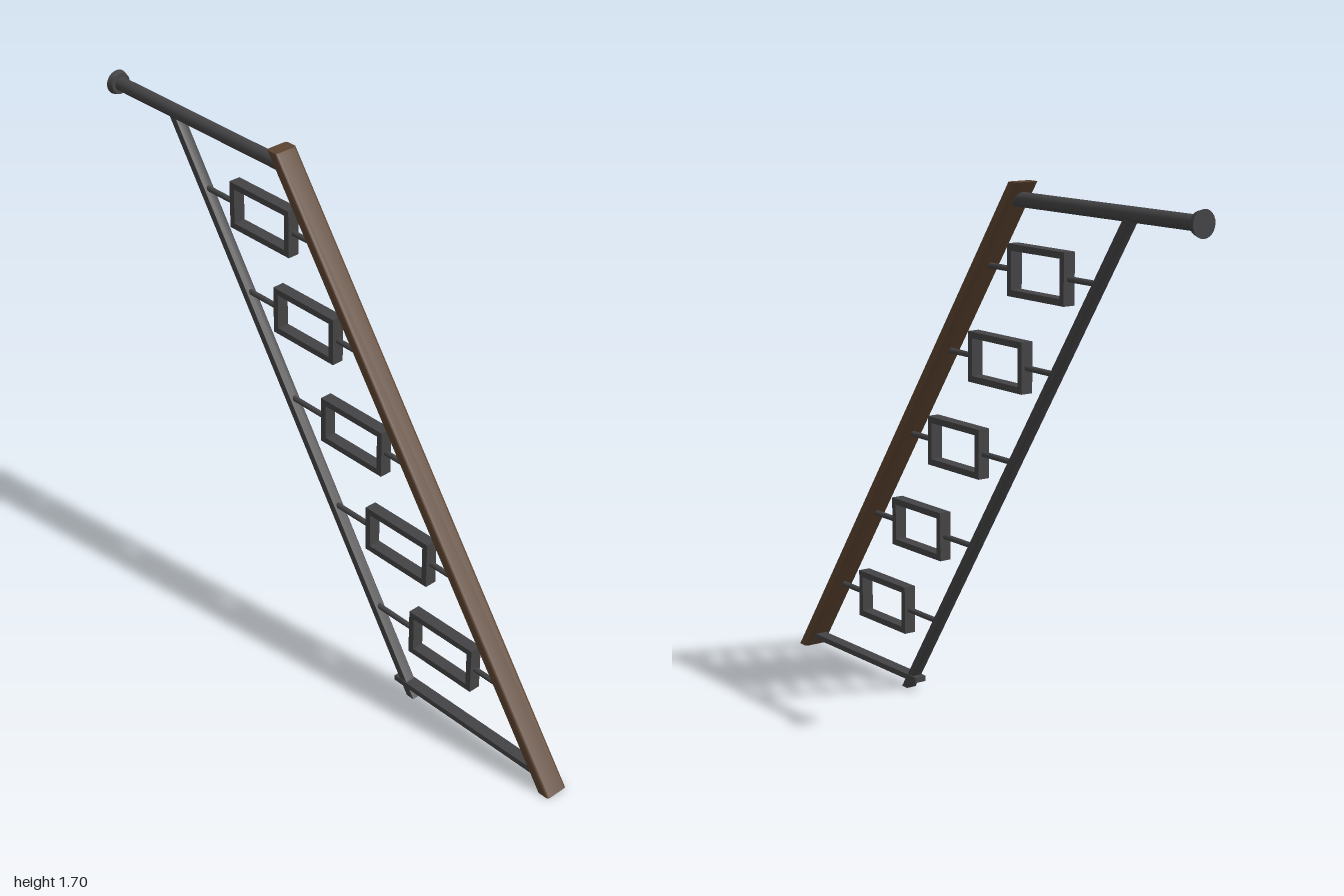
import * as THREE from 'three';
import { toCreasedNormals } from 'three/addons/utils/BufferGeometryUtils.js';

const wood = new THREE.MeshStandardMaterial({ color: 0x5c4330 });
wood.name = 'brown wood';
const steel = new THREE.MeshStandardMaterial({ color: 0x434345 });
steel.name = 'dark steel';

// Rectangle with rounded corners, centred on the origin
function roundedRect(w, h, r) {
  const s = new THREE.Shape();
  const x = w / 2, y = h / 2;
  s.moveTo(-x + r, -y);
  s.lineTo(x - r, -y);
  s.quadraticCurveTo(x, -y, x, -y + r);
  s.lineTo(x, y - r);
  s.quadraticCurveTo(x, y, x - r, y);
  s.lineTo(-x + r, y);
  s.quadraticCurveTo(-x, y, -x, y - r);
  s.lineTo(-x, -y + r);
  s.quadraticCurveTo(-x, -y, -x + r, -y);
  return s;
}

// Leaning bar with level ends: a section in x/z, sheared backwards as it rises
function leaningBar(section, height, zBottom, zTop) {
  const g = new THREE.ExtrudeGeometry(section, { depth: height, bevelEnabled: false, curveSegments: 4 });
  g.rotateX(-Math.PI / 2);
  const p = g.attributes.position;
  for (let i = 0; i < p.count; i++) {
    p.setZ(i, p.getZ(i) + zBottom + (zTop - zBottom) * p.getY(i) / height);
  }
  g.computeVertexNormals();
  return toCreasedNormals(g, 0.6);
}

export function createModel() {
  const model = new THREE.Group();
  model.name = 'stairRailing';
  const add = (name, geometry, material, y = 0, z = 0) => {
    const m = new THREE.Mesh(geometry, material);
    m.name = name;
    m.position.set(0, y, z);
    model.add(m);
    return m;
  };

  // Sloping wooden handrail and the steel bar behind it
  const railZ = y => 0.9775 - 0.703 * y;
  const postZ = y => 0.385 - 0.666 * y;
  add('handrail', leaningBar(roundedRect(0.08, 0.045, 0.01), 1.7, railZ(0), railZ(1.7)), wood);
  add('rearBar', leaningBar(roundedRect(0.035, 0.03, 0.002), 1.64, postZ(0), postZ(1.64)), steel);

  // Level pipe to the wall, with a flared flange
  const pipe = new THREE.CylinderGeometry(0.0225, 0.0225, 0.805, 24);
  pipe.rotateX(Math.PI / 2);
  add('wallPipe', pipe, steel, 1.647, -0.5875);
  const flange = new THREE.CylinderGeometry(0.034, 0.04, 0.02, 24);
  flange.rotateX(Math.PI / 2);
  add('wallFlange', flange, steel, 1.647, -0.99);

  // Flat bottom bar
  add('bottomBar', new THREE.BoxGeometry(0.04, 0.018, 0.635), steel, 0.04, 0.635);

  // Rectangular frame with an open middle
  const outline = new THREE.Shape();
  const w = 0.134, h = 0.078, t = 0.02;
  outline.moveTo(-w, -h).lineTo(w, -h).lineTo(w, h).lineTo(-w, h).closePath();
  const hole = new THREE.Path();
  hole.moveTo(-w + t, -h + t).lineTo(-w + t, h - t).lineTo(w - t, h - t).lineTo(w - t, -h + t).closePath();
  outline.holes.push(hole);
  const frame = new THREE.ExtrudeGeometry(outline, { depth: 0.04, bevelEnabled: false });
  frame.translate(0, 0, -0.02);
  frame.rotateY(Math.PI / 2);

  // Rod along z between two points
  const rod = (name, y, z0, z1) => {
    const g = new THREE.CylinderGeometry(0.009, 0.009, Math.abs(z1 - z0), 12);
    g.rotateX(Math.PI / 2);
    add(name, g, steel, y, (z0 + z1) / 2);
  };

  // Five frames, each held by a rod on either side
  const frames = [[0.262, 0.51], [0.551, 0.31], [0.854, 0.107], [1.152, -0.107], [1.438, -0.302]];
  for (const [y, z] of frames) {
    add('frame', frame, steel, y, z);
    rod('frontRod', y, railZ(y), z + w - 0.005);
    rod('rearRod', y, z - w + 0.005, postZ(y));
  }
  return model;
}
